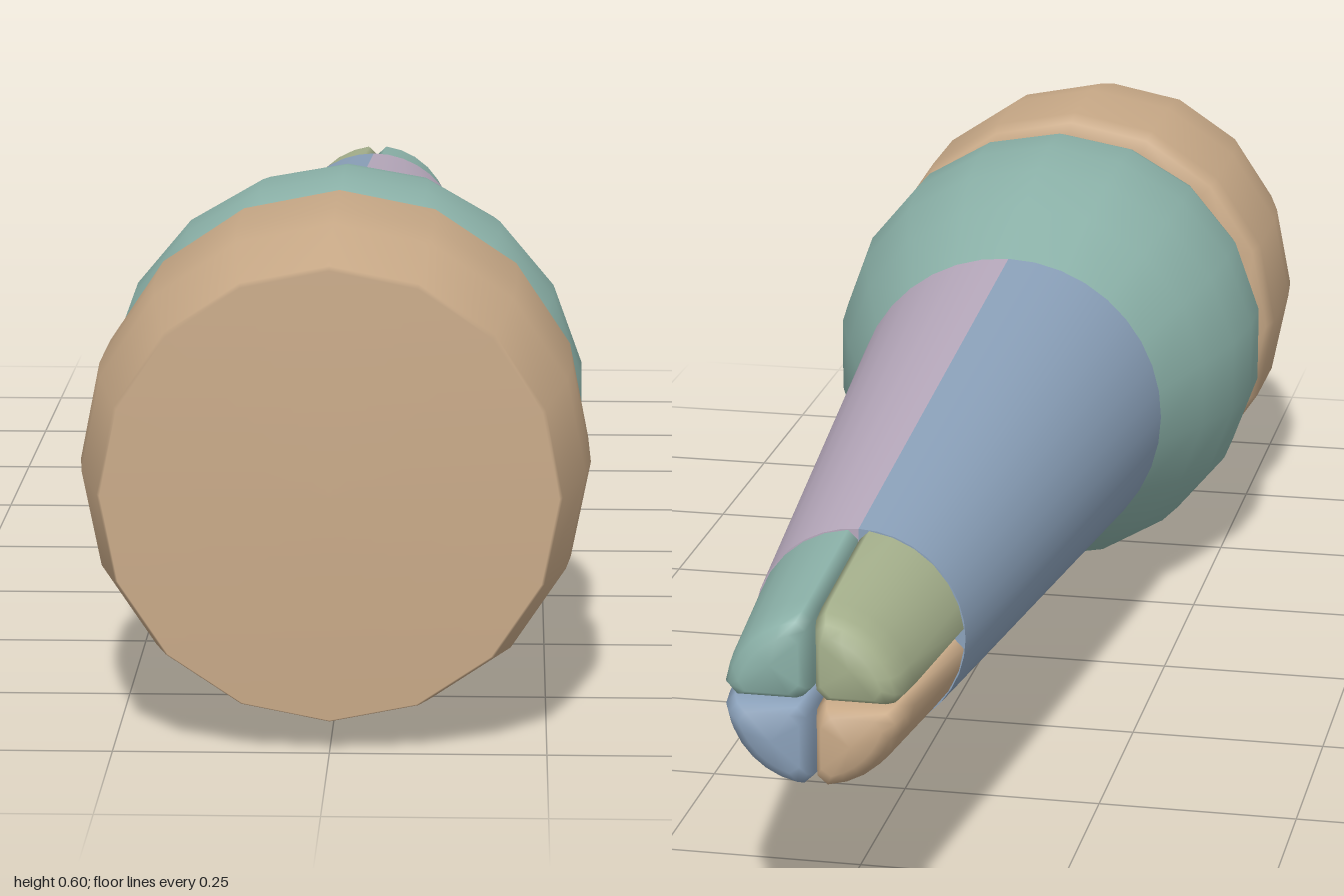
import * as THREE from 'three';
import { mergeVertices } from 'three/addons/utils/BufferGeometryUtils.js';

const mat = (name, color) => {
  const m = new THREE.MeshStandardMaterial({ color });
  m.name = name;
  return m;
};

// Closed solid turned around the z axis; profile is [radius, z] from back to front
function turned(profile, sides) {
  const g = new THREE.LatheGeometry(profile.map(([r, z]) => new THREE.Vector2(r, z)), sides);
  return g.rotateX(Math.PI / 2);
}

// Quarter-round wedge outline with softened corners, counter-clockwise
function wedgeOutline(r, gap) {
  const c = 0.012, pts = [[gap + c, gap], [r - c, gap]];
  const a0 = Math.asin((gap + c) / r);
  for (let i = 0; i <= 6; i++) {
    const a = a0 + (Math.PI / 2 - 2 * a0) * i / 6;
    pts.push([r * Math.cos(a), r * Math.sin(a)]);
  }
  pts.push([gap, r - c], [gap, gap + c]);
  return pts;
}

// Tapered wedge with a rounded back end, lofted from outlines
function wedgeGeometry() {
  const rings = [
    [0.129, 0.001, -0.74], [0.111, 0.001, -0.94], [0.107, 0.002, -0.972],
    [0.100, 0.006, -0.99], [0.088, 0.013, -1],
  ];
  const pos = [], idx = [];
  let n = 0;
  for (const [r, gap, z] of rings) {
    const outline = wedgeOutline(r, gap);
    n = outline.length;
    for (const [x, y] of outline) pos.push(x, y, z);
  }
  for (let k = 0; k < rings.length - 1; k++) {
    for (let i = 0; i < n; i++) {
      const a = k * n + i, b = k * n + (i + 1) % n;
      idx.push(a, a + n, b, b, a + n, b + n);
    }
  }
  // End cap
  const last = (rings.length - 1) * n, centre = pos.length / 3;
  pos.push(0.047, 0.047, -1);
  for (let i = 0; i < n; i++) idx.push(centre, last + (i + 1) % n, last + i);
  const g = new THREE.BufferGeometry();
  g.setAttribute('position', new THREE.Float32BufferAttribute(pos, 3));
  g.setIndex(idx);
  const merged = mergeVertices(g);
  merged.computeVertexNormals();
  return merged;
}

export function createModel() {
  const tan = mat('tan', 0xc8a987);
  const teal = mat('teal', 0x8ab0a7);
  const mauve = mat('mauve', 0xb6a8bb);
  const blue = mat('slate blue', 0x8aa0b9);
  const olive = mat('olive', 0xa5b08c);

  const model = new THREE.Group();
  model.name = 'taperedHandle';
  const add = (name, geometry, material, parent = model) => {
    const mesh = new THREE.Mesh(geometry, material);
    mesh.name = name;
    parent.add(mesh);
    return mesh;
  };

  // Rounded front cap
  add('frontCap', turned([
    [0, 0.615], [0.265, 0.615], [0.292, 0.63], [0.3, 0.66], [0.301, 0.8],
    [0.294, 0.87], [0.266, 0.99], [0.262, 1], [0, 1],
  ], 16), tan);

  // Bulging collar
  add('collar', turned([
    [0, 0.162], [0.212, 0.162], [0.214, 0.165], [0.258, 0.28], [0.287, 0.37],
    [0.299, 0.46], [0.298, 0.54], [0.284, 0.59], [0.265, 0.618], [0, 0.618],
  ], 18), teal);

  // Tapered shaft split lengthwise into two halves
  const shaft = new THREE.Group();
  shaft.name = 'shaft';
  model.add(shaft);
  const half = (start) => new THREE.CylinderGeometry(0.214, 0.13, 0.91, 18, 1, false, start, Math.PI)
    .rotateX(Math.PI / 2).translate(0, 0, -0.29);
  add('leftShaftHalf', half(0), mauve, shaft);
  add('rightShaftHalf', half(Math.PI), blue, shaft);

  // Four rounded wedges forming the tip
  const tip = new THREE.Group();
  tip.name = 'tip';
  model.add(tip);
  const wedge = wedgeGeometry();
  [['upperLeftWedge', teal], ['upperRightWedge', olive], ['lowerRightWedge', tan], ['lowerLeftWedge', blue]]
    .forEach(([name, material], i) => {
      add(name, wedge, material, tip).rotation.z = i * Math.PI / 2;
    });

  // Raise so the widest part rests on the ground
  for (const part of model.children) part.position.y = 0.3;
  return model;
}
